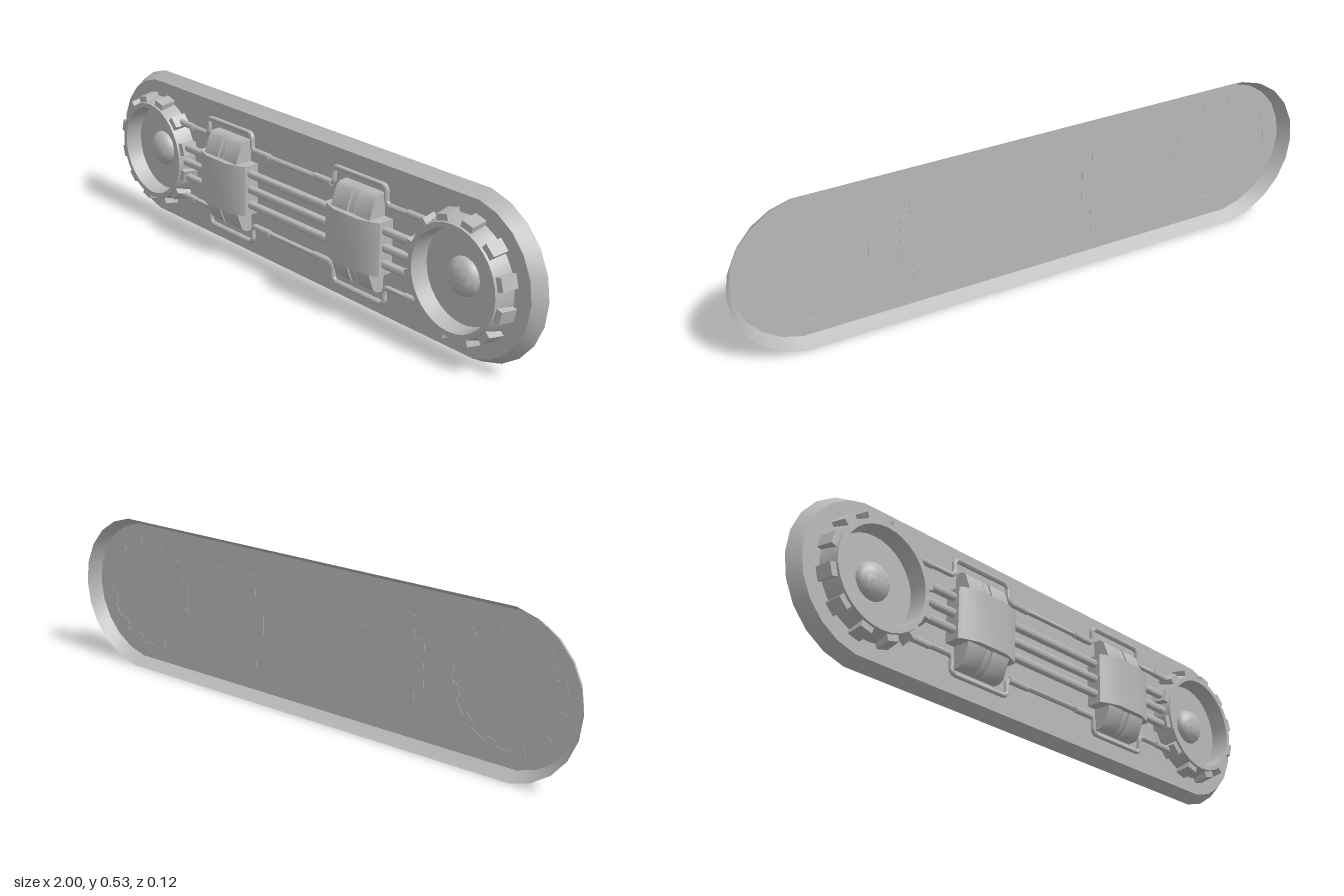
import * as THREE from 'three';
import { toCreasedNormals } from 'three/addons/utils/BufferGeometryUtils.js';

export function createModel() {
  const model = new THREE.Group();
  const grey = new THREE.MeshStandardMaterial({ color: 0xb8b8b8, side: THREE.DoubleSide });
  const CY = 0.264, PLATE = -0.018, WHEEL = 0.729;

  function add(parent, name, geometry, x = 0, y = 0, z = 0, crease = 0.6) {
    const mesh = new THREE.Mesh(toCreasedNormals(geometry, crease), grey);
    mesh.name = name;
    mesh.position.set(x, y, z);
    parent.add(mesh);
    return mesh;
  }
  const outline = pts => new THREE.Shape(pts.map(p => new THREE.Vector2(...p)));

  // Backing shell, open at the back: a tapered disc pulled apart into a long rounded tray
  function pullApart(geometry) {
    const pos = geometry.attributes.position;
    const stretch = 1 / Math.cos(Math.PI / 22);
    for (let i = 0; i < pos.count; i++) {
      const x = pos.getX(i);
      if (Math.abs(x) > 0.001) pos.setX(i, x + Math.sign(x) * 0.736);
      pos.setY(i, pos.getY(i) * stretch);
    }
    return geometry;
  }
  const rim = new THREE.CylinderGeometry(0.2395, 0.264, 0.044, 22, 1, true, Math.PI / 22);
  add(model, 'shellRim', pullApart(rim.rotateX(Math.PI / 2)), 0, CY, -0.04);
  const face = new THREE.CircleGeometry(0.2395, 22, Math.PI / 2 + Math.PI / 22);
  add(model, 'shellFace', pullApart(face), 0, CY, PLATE);

  // End wheels: tapered drum with a deep open face, hub dome and tread blocks
  const drum = [[0.187, -0.019], [0.17, 0.04], [0.154, 0.04], [0.148, -0.017], [0, -0.017]]
    .map(p => new THREE.Vector2(...p));
  const tread = outline([[0.17, -0.019], [0.2, -0.019], [0.191, 0.033], [0.165, 0.033]]);
  for (const s of [-1, 1]) {
    const wheel = new THREE.Group();
    wheel.name = s < 0 ? 'rightWheel' : 'leftWheel';
    wheel.position.set(s * WHEEL, CY, 0);
    model.add(wheel);
    add(wheel, 'drum', new THREE.LatheGeometry(drum, 32).rotateX(Math.PI / 2));
    const dome = new THREE.SphereGeometry(0.06, 24, 8, 0, Math.PI * 2, 0, Math.PI / 2);
    add(wheel, 'hubDome', dome.rotateX(Math.PI / 2).scale(1, 1, 0.6), 0, 0, -0.017);
    for (let i = 0; i < 12; i++) {
      const block = new THREE.ExtrudeGeometry(tread, { depth: 0.042, bevelEnabled: false });
      block.translate(0, 0, -0.021).rotateX(Math.PI / 2).rotateZ((i + 0.5) * Math.PI / 6);
      add(wheel, 'treadBlock', block);
    }
  }

  // Three straight rods joining the wheels
  for (const dy of [-0.053, 0, 0.053]) {
    const rod = new THREE.CylinderGeometry(0.0135, 0.0135, 1.14, 12).rotateZ(Math.PI / 2);
    add(model, 'rod', rod, 0, CY + dy, 0.012, 0.9);
  }

  // Thin pipes that detour around the clamps, with short sleeves
  const half = [[0.19, 0.131], [0.2, 0.14], [0.2, 0.178], [0.21, 0.188],
    [0.42, 0.188], [0.43, 0.178], [0.43, 0.14], [0.44, 0.131], [0.62, 0.131]];
  const points = [...half.map(([x, y]) => [-x, y]).reverse(), ...half];
  for (const s of [-1, 1]) {
    const path = new THREE.CurvePath();
    for (let i = 1; i < points.length; i++) {
      const [a, b] = [points[i - 1], points[i]];
      path.add(new THREE.LineCurve3(new THREE.Vector3(a[0], s * a[1], 0), new THREE.Vector3(b[0], s * b[1], 0)));
    }
    add(model, s > 0 ? 'upperPipe' : 'lowerPipe', new THREE.TubeGeometry(path, 240, 0.008, 8), 0, CY, 0.002, 0.9);
    for (const x of [-0.56, -0.15, 0.15, 0.56]) {
      const sleeve = new THREE.CylinderGeometry(0.011, 0.011, 0.08, 10).rotateZ(Math.PI / 2);
      add(model, 'pipeSleeve', sleeve, x, CY + s * 0.131, 0.002, 0.9);
    }
  }

  // Clamps: a chamfered band over sloping pads split by a narrow rib
  const band = outline([[-0.12, -0.019], [0.12, -0.019], [0.12, 0.034], [0.108, 0.043],
    [0.055, 0.062], [-0.055, 0.062], [-0.108, 0.043], [-0.12, 0.034]]);
  function pad(width, lift) {
    const shape = outline([[-0.158, -0.019], [0.158, -0.019], [0.156, 0.008 + lift],
      [0.145, 0.022 + lift], [0.085, 0.044 + lift], [-0.085, 0.044 + lift], [-0.145, 0.022 + lift],
      [-0.156, 0.008 + lift]]);
    const g = new THREE.ExtrudeGeometry(shape, { depth: width, bevelEnabled: false });
    // profile x -> height, profile y -> depth, extrusion -> width
    return g.translate(0, 0, -width / 2).applyMatrix4(new THREE.Matrix4().set(
      0, 0, 1, 0, 1, 0, 0, 0, 0, 1, 0, 0, 0, 0, 0, 1));
  }
  for (const s of [-1, 1]) {
    const clamp = new THREE.Group();
    clamp.name = s < 0 ? 'rightClamp' : 'leftClamp';
    clamp.position.set(s * 0.318, CY - 0.003, 0);
    model.add(clamp);
    const bandGeo = new THREE.ExtrudeGeometry(band, { depth: 0.17, bevelEnabled: false });
    // extrusion runs downwards after the turn, profile y becomes depth
    add(clamp, 'clampBand', bandGeo.translate(0, 0, -0.085).rotateX(Math.PI / 2));
    for (const side of [-1, 1]) add(clamp, 'pad', pad(0.069, 0), side * 0.05);
    add(clamp, 'padRib', pad(0.022, -0.002));
    add(clamp, 'padCore', pad(0.12, -0.01));
  }
  return model;
}
